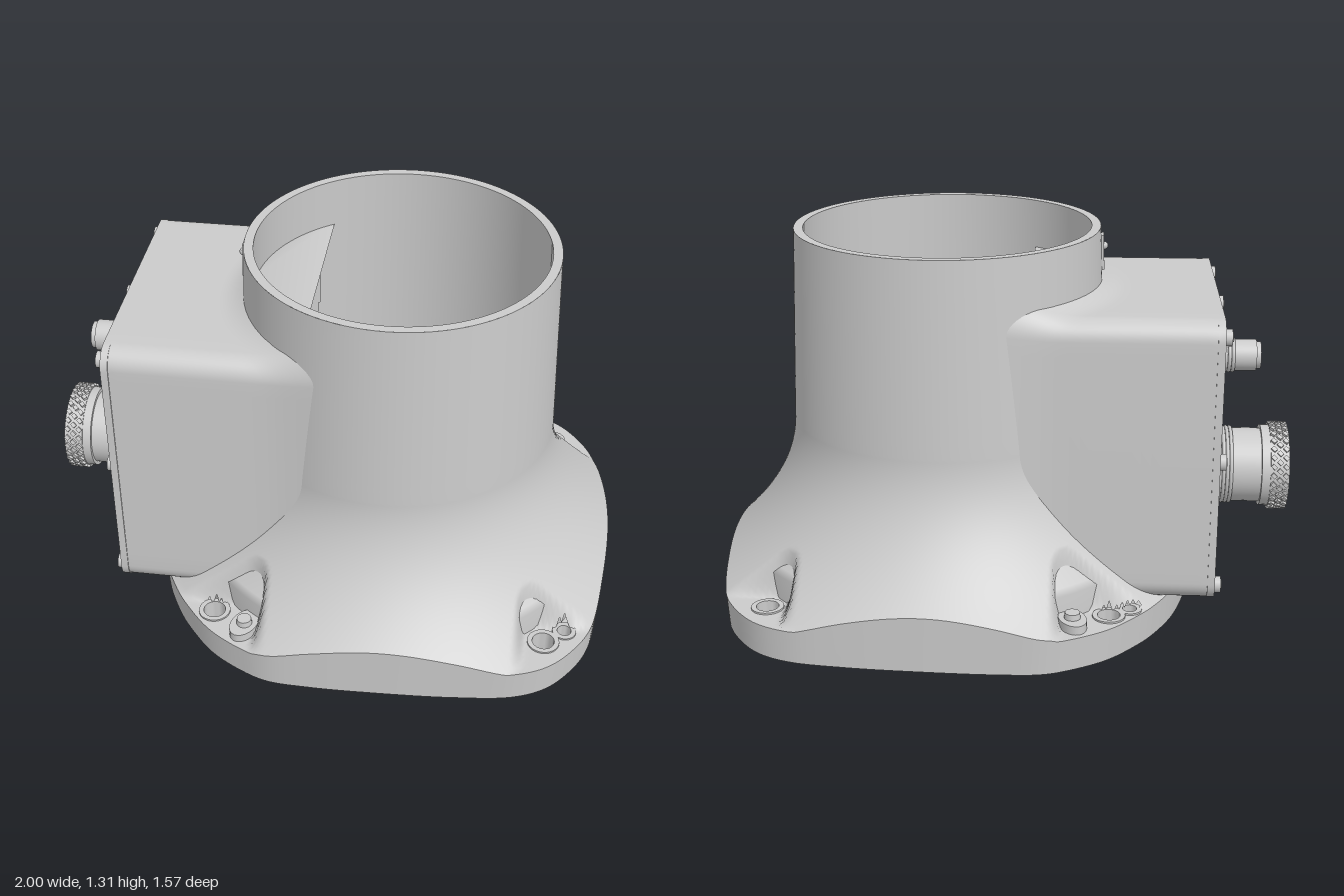
import * as THREE from 'three';
import { mergeGeometries, toCreasedNormals } from 'three/addons/utils/BufferGeometryUtils.js';

const CX = 0.215;   // axis of the column
const N = 320;      // samples around the base outline
const mat = new THREE.MeshStandardMaterial({ color: 0xcccccc, side: THREE.DoubleSide });

export function createModel() {
  const model = new THREE.Group();
  const add = (name, geo, x = 0, y = 0, z = 0) => {
    const m = new THREE.Mesh(geo, mat);
    m.name = name;
    m.position.set(x, y, z);
    model.add(m);
    return m;
  };

  // Base outline: half of it listed, the other half mirrored in z
  const half = [[1, 0], [0.985, 0.25], [0.95, 0.47], [0.9, 0.575], [0.81, 0.68], [0.7, 0.735], [0.5, 0.765],
    [0.2, 0.782], [0, 0.785], [-0.15, 0.775], [-0.25, 0.735], [-0.36, 0.665], [-0.45, 0.57], [-0.515, 0.48],
    [-0.6, 0.3], [-0.655, 0]];
  const loop = [...half.map(([x, z]) => [x, -z]), ...half.slice(1, -1).reverse()];
  const curve = new THREE.CatmullRomCurve3(loop.map(([x, z]) => new THREE.Vector3(x, 0, z)), true);
  const outline = curve.getSpacedPoints(N).slice(0, N).map(p => {
    const r = Math.hypot(p.x - CX, p.z);
    return { r, dx: (p.x - CX) / r, dz: p.z / r };
  });
  const at = (i, r, y) => [CX + outline[i].dx * r, y, outline[i].dz * r];

  // Surface closed around the outline, with rows from fn(i, row)
  const sweep = (rows, fn, skip = () => false) => {
    const pos = [], idx = [];
    for (let j = 0; j <= rows; j++) for (let i = 0; i < N; i++) pos.push(...fn(i, j));
    for (let j = 0; j < rows; j++) for (let i = 0; i < N; i++) {
      const a = j * N + i, b = j * N + (i + 1) % N, c = a + N, d = b + N;
      const mid = k => (pos[a * 3 + k] + pos[d * 3 + k]) / 2;
      if (!skip(mid(0), mid(1), mid(2))) idx.push(a, c, b, b, c, d);
    }
    const g = new THREE.BufferGeometry();
    g.setAttribute('position', new THREE.Float32BufferAttribute(pos, 3));
    g.setIndex(idx);
    g.computeVertexNormals();
    return g;
  };

  // Mounting holes: x, z, radius
  const holes = [[0.785, 0.57, 0.038], [0.785, -0.57, 0.038], [-0.36, 0.57, 0.038], [-0.36, -0.57, 0.038],
    [0.855, 0.51, 0.024], [-0.43, -0.52, 0.024]];
  const inHole = (x, z) => holes.some(([hx, hz, r]) => Math.hypot(x - hx, z - hz) < r + 0.008);
  const inWindow = (x, y, z) => x < CX && Math.abs(z) < 0.38 && y > 0.35 && y < 1;

  // Flat corner pockets, blended into the flare
  const pocket = (x, z) => {
    const u = x > CX ? x - 0.685 : -0.17 - x;
    const v = Math.abs(z) - (x > CX ? 0.465 : 0.5);
    const d = 0.08 - Math.hypot(Math.max(0.08 - u, 0), Math.max(0.08 - v, 0));
    return THREE.MathUtils.smoothstep(d, 0, 0.035);
  };

  // Outer skin: tapered column, then a parabolic flare out to the outline
  const COL = 14, FLARE = 54;
  const skin = (i, j) => {
    if (j <= COL) return at(i, 0.527 + 0.023 * j / COL, 1.31 - 0.66 * j / COL);
    const yEnd = 0.65 - Math.sqrt((outline[i].r - 0.55) / 1.12);
    const y = 0.65 + (yEnd - 0.65) * (j - COL) / FLARE;
    const p = at(i, 0.55 + 1.12 * (0.65 - y) ** 2, Math.max(y, 0.115));
    p[1] += (0.115 - p[1]) * pocket(p[0], p[2]);
    return p;
  };
  add('flaredBody', sweep(COL + FLARE, skin, (x, y, z) => inWindow(x, y, z) || (y < 0.14 && inHole(x, z))));

  // Inner wall, with an opening into the side housing
  add('innerWall', sweep(44, (i, j) => {
    if (j <= 20) return at(i, 0.495 + 0.02 * j / 20, 1.31 - 0.66 * j / 20);
    if (j === 44) return at(i, 0.74, 0.035);
    const y = 0.65 - 0.448 * (j - 20) / 23;
    return at(i, 0.515 + 1.12 * (0.65 - y) ** 2, y);
  }, inWindow));
  add('topLip', new THREE.RingGeometry(0.495, 0.527, 96).rotateX(-Math.PI / 2), CX, 1.31, 0);

  // Base edge, bottom rim and recess
  add('baseRim', toCreasedNormals(sweep(3, (i, j) => {
    const r = outline[i].r;
    return [skin(i, COL + FLARE), at(i, r * 0.992, 0), at(i, r * 0.992 - 0.025, 0), at(i, r * 0.992 - 0.025, 0.035)][j];
  }), 0.6));

  // Bottom plate with the holes cut through
  const plate = new THREE.Shape(outline.map(o => new THREE.Vector2(CX + o.dx * (o.r - 0.012), o.dz * (o.r - 0.012))));
  for (const [x, z, r] of holes) plate.holes.push(new THREE.Path().absarc(x, z, r, 0, Math.PI * 2, true));
  add('bottomPlate', new THREE.ShapeGeometry(plate, 20).rotateX(Math.PI / 2), 0, 0.035, 0);
  for (const [x, z, r] of holes) {
    const ring = [[r, 0.004], [r, 0.121], [r + 0.017, 0.121], [r + 0.017, 0.004], [r, 0.004]];
    add('mountingBush', toCreasedNormals(
      new THREE.LatheGeometry(ring.map(p => new THREE.Vector2(...p)), 28), 0.6), x, 0, z);
  }
  for (let k = 0; k < 8; k++) {
    const i = Math.floor((k + 0.5) * N / 8 + (k % 2 ? 12 : -12) + N) % N;
    add('bottomScrew', new THREE.CylinderGeometry(0.022, 0.022, 0.025, 16), ...at(i, outline[i].r - 0.065, 0.025));
  }

  // Earthing lugs in the two pockets beside the housing
  for (const s of [1, -1]) {
    const lug = add('earthLug', new THREE.CylinderGeometry(0.045, 0.045, 0.03, 24), -0.24, 0.13, s * 0.645);
    lug.scale.z = 1.5;
    lug.rotation.y = s * -0.35;
    add('lugScrew', new THREE.CylinderGeometry(0.025, 0.028, 0.03, 16), -0.24, 0.15, s * 0.645);
  }

  // Side housing: rounded tube along x, its end fitted to the column with a fillet
  const roundRect = (w, h, r, n = 10) => {
    const pts = [];
    [[1, 1], [-1, 1], [-1, -1], [1, -1]].forEach(([sx, sy], q) => {
      for (let k = 0; k <= n; k++) {
        const a = (q + k / n) * Math.PI / 2;
        pts.push(new THREE.Vector2(sx * (w - r) + r * Math.cos(a), sy * (h - r) + r * Math.sin(a)));
      }
      const [ex, ey] = [[-1, 1], [-1, -1], [1, -1], [1, 1]][q];
      const from = pts[pts.length - 1];
      const to = new THREE.Vector2(q % 2 ? ex * w : ex * (w - r), q % 2 ? ey * (h - r) : ey * h);
      for (let k = 1; k < 16; k++) pts.push(from.clone().lerp(to, k / 16));
    });
    return pts;
  };
  const HY = 0.61, W = 0.465, H = 0.49;
  const tube = new THREE.Shape(roundRect(W, H, 0.07));
  tube.holes.push(new THREE.Path(roundRect(W - 0.035, H - 0.035, 0.04)));
  const shell = new THREE.ExtrudeGeometry(tube, { depth: 1, steps: 20, bevelEnabled: false });
  const sp = shell.attributes.position;
  for (let i = 0; i < sp.count; i++) {
    const t = sp.getZ(i);
    const grow = 1 + 0.07 * Math.max(0, (t - 0.75) / 0.25) ** 2;
    const z = sp.getX(i) * grow;
    const y = sp.getY(i) > 0 ? sp.getY(i) * grow : sp.getY(i);
    const end = CX - Math.sqrt(Math.max(0.52 ** 2 - z * z, 0.01));
    sp.setXYZ(i, -0.69 + t * (end + 0.69), y + HY, z);
  }
  shell.deleteAttribute('normal');
  shell.computeVertexNormals();
  add('sideHousing', toCreasedNormals(shell, 0.6));

  // Cover plate of the housing
  const cover = new THREE.ExtrudeGeometry(new THREE.Shape(roundRect(W + 0.004, H, 0.07)),
    { depth: 0.025, bevelEnabled: false }).rotateY(-Math.PI / 2);
  add('coverPlate', toCreasedNormals(cover, 0.6), -0.69, HY, 0);

  // Cylinder lying along x between x0 and x1
  const rod = (name, r, x0, x1, y, z = 0, sides = 40) =>
    add(name, new THREE.CylinderGeometry(r, r, x1 - x0, sides).rotateZ(Math.PI / 2), (x0 + x1) / 2, y, z);
  for (const y of [1.04, 0.61, 0.165]) for (const z of [-0.41, 0, 0.41]) {
    if (y === 0.61 && z === 0) continue;
    rod('coverScrew', 0.028, -0.738, -0.71, y, z, 18);
    rod('screwSocket', 0.014, -0.742, -0.73, y, z, 6);
  }

  // Threaded section made of torus rings
  const thread = (r, x0, x1, y) => {
    rod('threadCore', r - 0.008, x0, x1, y);
    for (let x = x0 + 0.006; x < x1; x += 0.013)
      add('threadRidge', new THREE.TorusGeometry(r - 0.007, 0.007, 6, 36).rotateY(Math.PI / 2), x, y, 0);
  };

  // Large connector with a knurled cap
  const LY = 0.445;
  rod('largeHexNut', 0.175, -0.742, -0.71, LY, 0, 6);
  thread(0.14, -0.79, -0.742, LY);
  rod('largeConnectorBody', 0.132, -0.89, -0.78, LY);
  rod('largeConnectorNeck', 0.145, -0.925, -0.89, LY);
  rod('largeConnectorCap', 0.148, -0.985, -0.92, LY);
  rod('capTip', 0.036, -1, -0.98, LY);
  const knurls = [];
  for (let row = 0; row < 3; row++) for (let k = 0; k < 30; k++) {
    knurls.push(new THREE.BoxGeometry(0.014, 0.018, 0.018).rotateY(Math.PI / 4)
      .translate(-0.973 + row * 0.021, 0.148, 0).rotateX((k + row / 2) * Math.PI / 15));
  }
  add('capKnurling', mergeGeometries(knurls), 0, LY, 0);

  // Small connector
  const SY = 0.855;
  rod('smallHexNut', 0.082, -0.745, -0.71, SY, 0, 6);
  thread(0.062, -0.785, -0.745, SY);
  rod('smallConnectorBody', 0.055, -0.86, -0.78, SY);
  rod('smallConnectorTip', 0.047, -0.876, -0.85, SY);

  // Small tag on the column above the housing
  add('columnTag', new THREE.BoxGeometry(0.015, 0.12, 0.05), -0.316, 1.22, 0).rotation.z = -0.03;
  add('tagScrew', new THREE.SphereGeometry(0.014, 12, 8), -0.323, 1.24, 0);

  return model;
}
